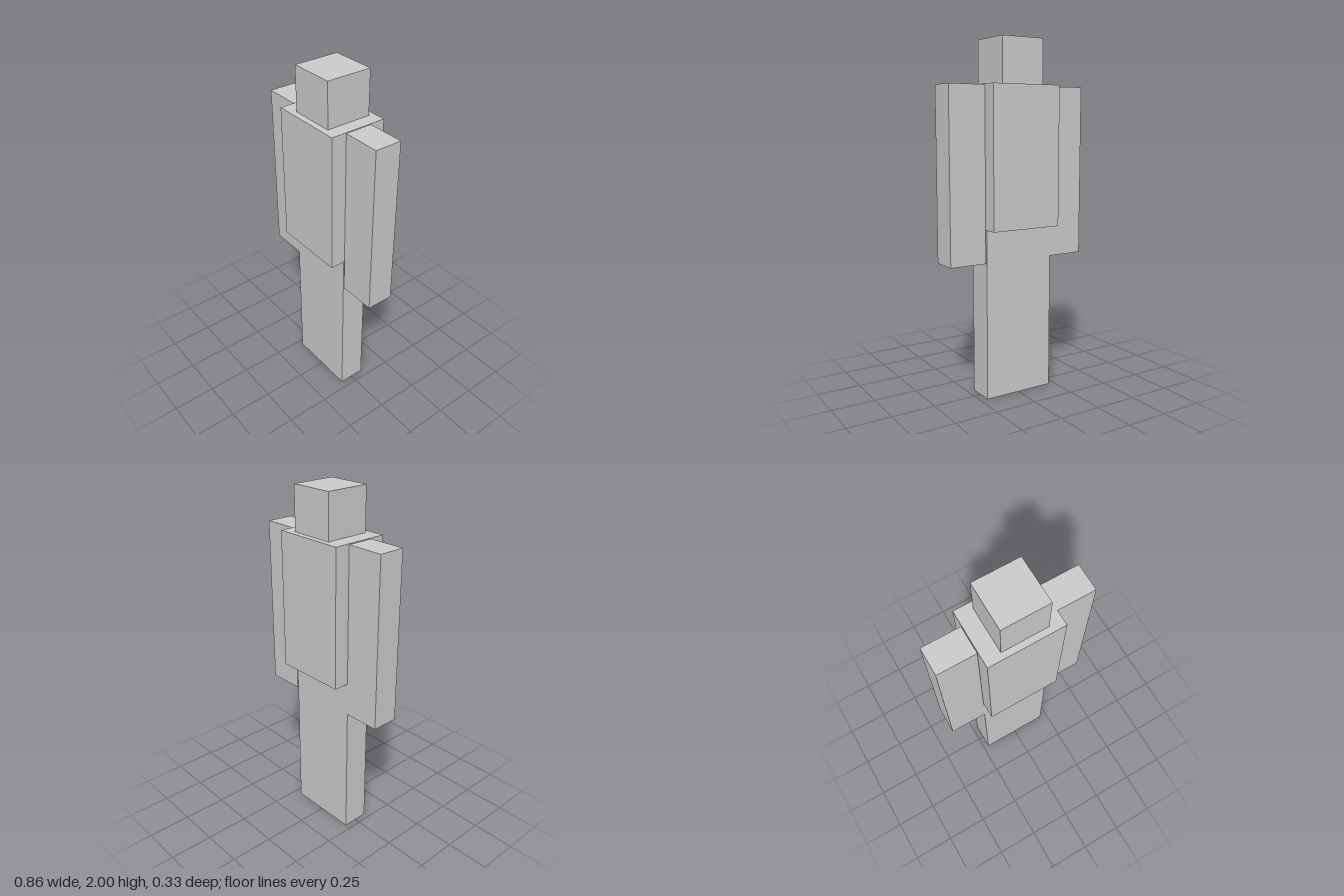
import * as THREE from 'three';

export function createModel() {
  const model = new THREE.Group();
  const material = new THREE.MeshStandardMaterial({ color: 0xcccccc, flatShading: true });

  // Adds a box spanning two opposite corners
  const addBox = (name, min, max) => {
    const size = max.map((v, i) => v - min[i]);
    const mesh = new THREE.Mesh(new THREE.BoxGeometry(...size), material);
    mesh.position.set(...max.map((v, i) => (v + min[i]) / 2));
    mesh.name = name;
    model.add(mesh);
  };

  addBox('head', [-0.122, 1.752, -0.132], [0.136, 2, 0.128]);
  addBox('torso', [-0.212, 0.968, -0.165], [0.212, 1.752, 0.163]);

  // Arms hang slightly below the shoulder line
  addBox('leftArm', [0.213, 0.782, -0.079], [0.428, 1.748, 0.076]);
  addBox('rightArm', [-0.43, 0.782, -0.079], [-0.215, 1.748, 0.076]);

  // Both legs form one slab
  addBox('legs', [-0.217, 0, -0.079], [0.206, 0.97, 0.076]);

  return model;
}
